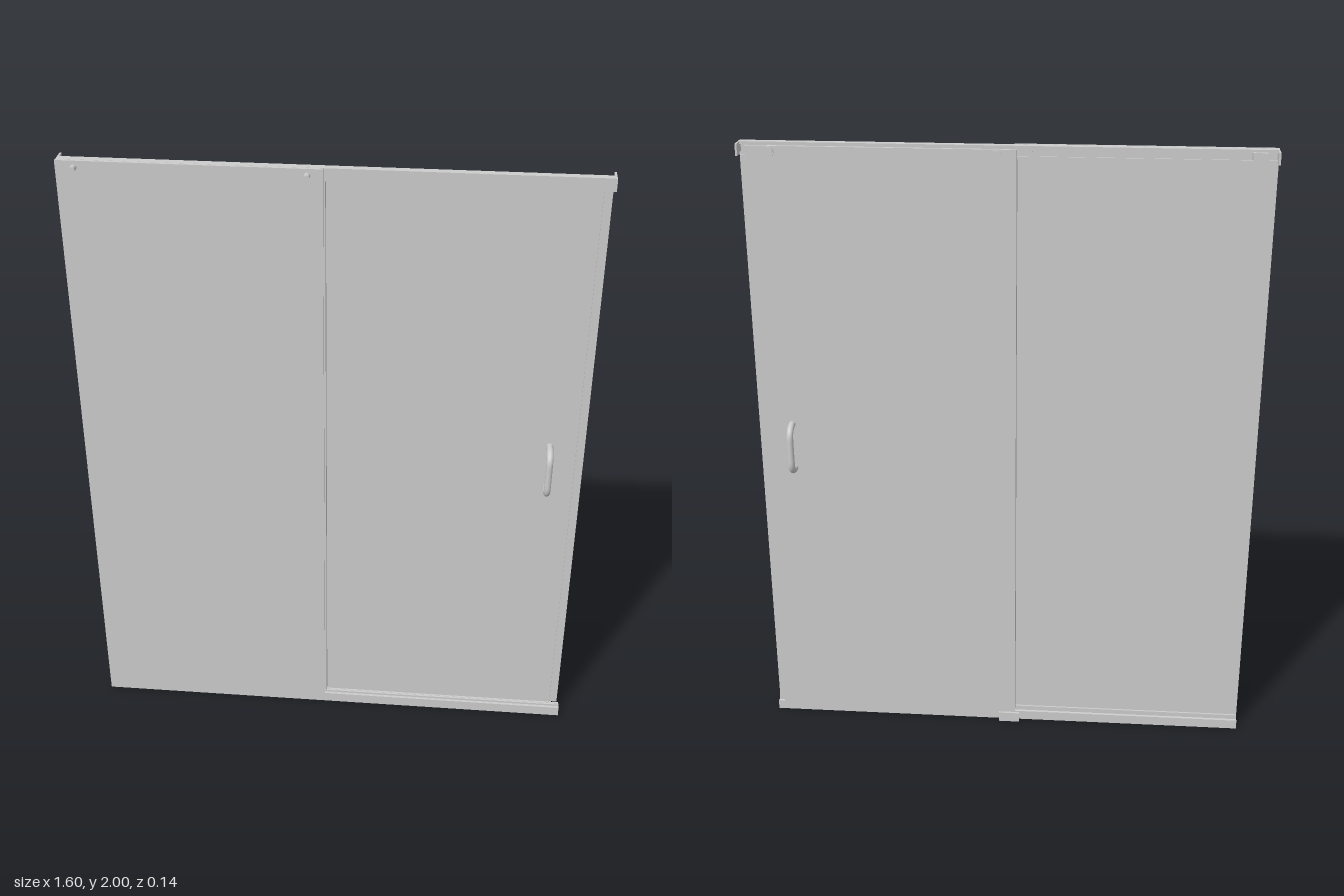
import * as THREE from 'three';

const material = new THREE.MeshStandardMaterial({ color: 0xcccccc, side: THREE.DoubleSide });

export function createModel() {
  const group = new THREE.Group();

  function add(name, geometry) {
    const mesh = new THREE.Mesh(geometry, material);
    mesh.name = name;
    group.add(mesh);
    return mesh;
  }

  // box given by its extents along x, y and z
  function box(name, [x0, x1], [y0, y1], [z0, z1]) {
    const mesh = add(name, new THREE.BoxGeometry(x1 - x0, y1 - y0, z1 - z0));
    mesh.position.set((x0 + x1) / 2, (y0 + y1) / 2, (z0 + z1) / 2);
  }

  // rail with a (z, y) cross-section running along x
  function rail(name, profile, x0, x1) {
    const shape = new THREE.Shape(profile.map(([z, y]) => new THREE.Vector2(-z, y)));
    const geometry = new THREE.ExtrudeGeometry(shape, { depth: x1 - x0, bevelEnabled: false });
    geometry.rotateY(Math.PI / 2);
    add(name, geometry).position.x = x0;
  }

  // round part with its axis along z
  function disc(name, x, y, z0, z1, radius) {
    const geometry = new THREE.CylinderGeometry(radius, radius, z1 - z0, 24);
    geometry.rotateX(Math.PI / 2);
    add(name, geometry).position.set(x, y, (z0 + z1) / 2);
  }

  // glass
  box('fixedPanel', [-0.8, -0.025], [0.035, 2], [0.023, 0.032]);
  box('slidingDoor', [-0.035, 0.775], [0.012, 1.99], [-0.012, -0.003]);

  // header: channel open to the back, with a small lip on each edge
  rail('header', [
    [0.022, 1.96], [0.022, 2], [-0.001, 2], [-0.001, 1.991], [0.003, 1.991], [0.003, 1.996],
    [0.017, 1.996], [0.017, 1.964], [0.003, 1.964], [0.003, 1.969], [-0.001, 1.969], [-0.001, 1.96],
  ], -0.797, 0.797);

  // sill: hollow below, with a step on top that carries the fixed panel
  rail('bottomRail', [
    [0.031, 0], [0.031, 0.035], [0.022, 0.035], [0.022, 0.042], [0.016, 0.042], [0.016, 0.026],
    [0.004, 0.022], [0.004, 0.032], [-0.002, 0.032], [-0.002, 0], [0.003, 0], [0.003, 0.016],
    [0.026, 0.02], [0.026, 0],
  ], -0.8, 0.8);

  // vertical seals on both door edges
  box('doorEdgeSeal', [-0.035, -0.02], [0.04, 1.96], [-0.003, 0.02]);
  box('closingSeal', [0.768, 0.793], [0.04, 1.96], [-0.005, 0.004]);

  // end brackets of the header
  for (const side of [-1, 1]) {
    const x = [side * 0.8, side * 0.794].sort((a, b) => a - b);
    box('headerEndPlate', x, [1.962, 1.998], [-0.031, 0.024]);
  }

  // bolts that fix the panel to the header
  for (const x of [-0.745, -0.07]) {
    disc('panelBolt', x, 1.98, 0.015, 0.054, 0.009);
  }

  // rollers of the sliding door
  for (const x of [0.025, 0.705]) {
    disc('rollerCap', x, 1.972, -0.018, -0.01, 0.016);
    disc('roller', x, 1.98, -0.004, 0.014, 0.013);
  }

  // stop in the header and guide block on the sill
  box('doorStop', [-0.765, -0.722], [1.967, 1.993], [-0.013, 0.017]);
  box('doorGuide', [-0.05, 0.02], [0, 0.034], [-0.02, -0.012]);
  box('doorGuideFoot', [-0.05, 0.02], [0, 0.01], [-0.014, 0.004]);

  // D-shaped handle on each face of the door
  for (const side of [-1, 1]) {
    const start = side < 0 ? -0.012 : -0.003;
    const p = (y, z) => new THREE.Vector3(0.685, y, z);
    const out = side * 0.058;
    const bend = side * 0.018;
    const path = new THREE.CurvePath();
    path.add(new THREE.LineCurve3(p(0.942, start), p(0.942, bend)));
    path.add(new THREE.QuadraticBezierCurve3(p(0.942, bend), p(0.942, out), p(0.982, out)));
    path.add(new THREE.LineCurve3(p(0.982, out), p(1.056, out)));
    path.add(new THREE.QuadraticBezierCurve3(p(1.056, out), p(1.096, out), p(1.096, bend)));
    path.add(new THREE.LineCurve3(p(1.096, bend), p(1.096, start)));
    add(side < 0 ? 'backHandle' : 'frontHandle', new THREE.TubeGeometry(path, 64, 0.0105, 16));
  }

  return group;
}
